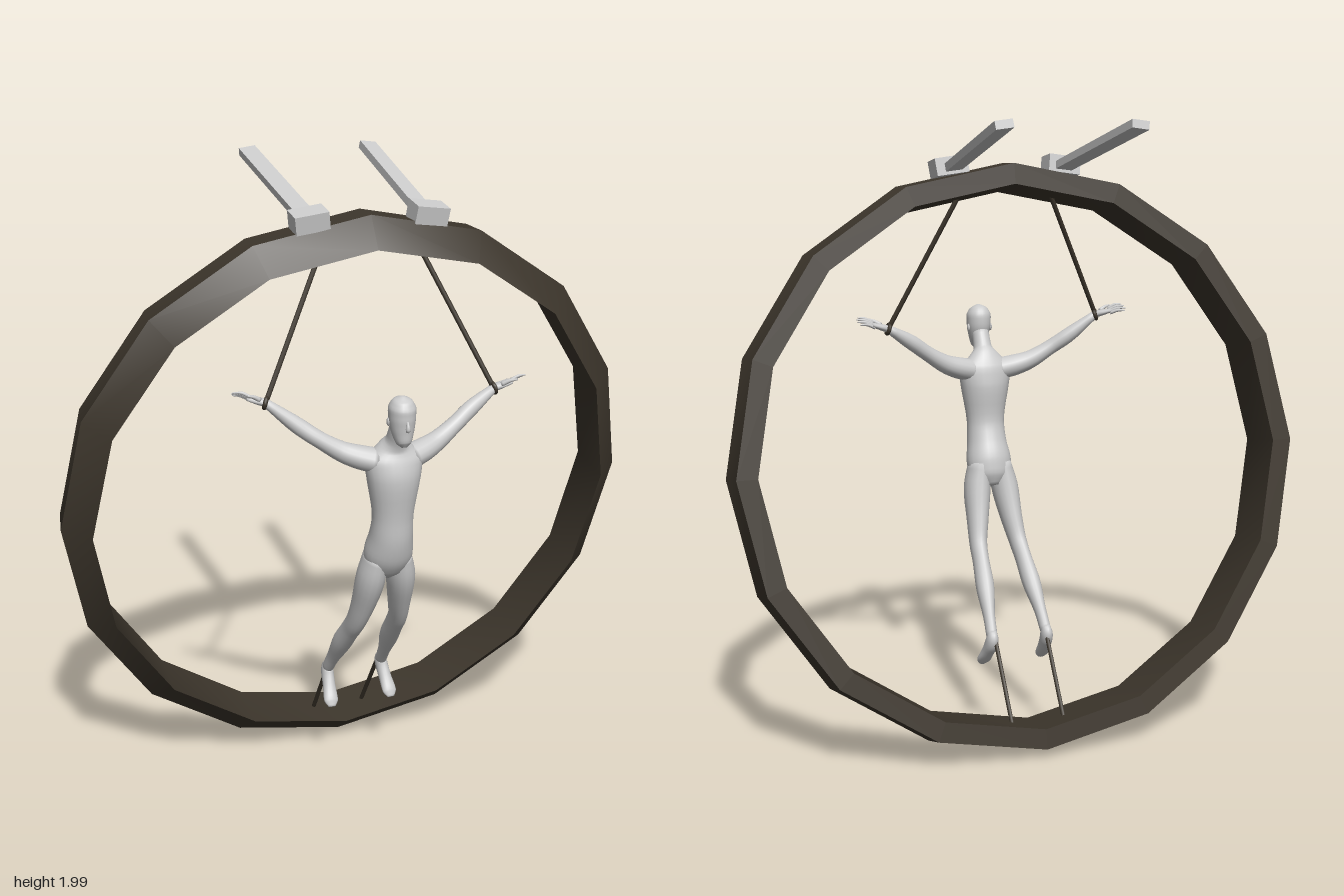
import * as THREE from 'three';
import { toCreasedNormals } from 'three/addons/utils/BufferGeometryUtils.js';

const grey = new THREE.MeshStandardMaterial({ color: 0xcccccc });
const dark = new THREE.MeshStandardMaterial({ color: 0x3d362c });
const V = (x, y, z) => new THREE.Vector3(x, y, z);

function add(parent, name, geometry, material = grey) {
  const mesh = new THREE.Mesh(geometry, material);
  mesh.name = name;
  parent.add(mesh);
  return mesh;
}

// Smooth skin over elliptical sections [x, y, z, sideRadius, frontRadius]
function loft(sections, ref = V(1, 0, 0), sides = 16, perSpan = 4) {
  const path = new THREE.CatmullRomCurve3(sections.map(s => V(s[0], s[1], s[2])));
  const radii = new THREE.CatmullRomCurve3(sections.map(s => V(s[3], s[4], 0)));
  const n = (sections.length - 1) * perSpan;
  const pos = [], idx = [];
  for (let i = 0; i <= n; i++) {
    const p = path.getPoint(i / n), r = radii.getPoint(i / n), t = path.getTangent(i / n);
    const side = ref.clone().addScaledVector(t, -ref.dot(t)).normalize();
    const fwd = t.clone().cross(side);
    for (let j = 0; j < sides; j++) {
      const a = (j / sides) * Math.PI * 2;
      const q = p.clone().addScaledVector(side, Math.cos(a) * r.x).addScaledVector(fwd, Math.sin(a) * r.y);
      pos.push(q.x, q.y, q.z);
    }
  }
  for (let i = 0; i < n; i++) for (let j = 0; j < sides; j++) {
    const k = (j + 1) % sides, a = i * sides + j, b = i * sides + k;
    idx.push(a, b, b + sides, a, b + sides, a + sides);
  }
  // end caps
  const first = sections[0], last = sections[sections.length - 1], c0 = (n + 1) * sides;
  pos.push(...first.slice(0, 3), ...last.slice(0, 3));
  for (let j = 0; j < sides; j++) {
    const k = (j + 1) % sides;
    idx.push(c0, k, j, c0 + 1, n * sides + j, n * sides + k);
  }
  const g = new THREE.BufferGeometry();
  g.setAttribute('position', new THREE.Float32BufferAttribute(pos, 3));
  g.setIndex(idx);
  g.computeVertexNormals();
  return g;
}

const rod = (a, b, r) => new THREE.TubeGeometry(new THREE.LineCurve3(a, b), 1, r, 8);

function buildArm(figure, label, s, wrist, tip) {
  const [wx, wy, wz] = wrist;
  const up = V(0, 1, 0);
  add(figure, label + 'Arm', loft([
    [s * 0.05, 1.175, 0.35, 0.038, 0.045],
    [s * 0.1, 1.187, 0.335, 0.036, 0.04],
    [s * 0.15, 1.205, 0.32, 0.031, 0.032],
    [s * 0.22, 1.248, 0.303, 0.025, 0.026],
    [s * 0.27, 1.284, (0.303 + wz) / 2 + 0.004, 0.025, 0.025],
    [wx, wy, wz, 0.013, 0.015],
  ], up));
  // palm and splayed fingers along the wrist-to-tip line
  const w = V(...wrist), e = V(...tip), at = t => w.clone().lerp(e, t);
  const across = V(0, 0.45, 0.9);
  const m = at(0.25), k = at(0.52);
  add(figure, label + 'Palm', loft([
    [wx, wy, wz, 0.012, 0.014],
    [m.x, m.y, m.z, 0.01, 0.021],
    [k.x, k.y, k.z, 0.007, 0.021],
  ], up, 12));
  for (let f = 0; f < 4; f++) {
    const o = f - 1.5;
    const a = at(0.45).addScaledVector(across, o * 0.009);
    const c = at(1 - 0.06 * Math.abs(o)).addScaledVector(across, o * 0.014);
    const mid = a.clone().lerp(c, 0.55).add(V(0, 0.005, 0));
    add(figure, label + 'Finger', loft([
      [a.x, a.y, a.z, 0.0055, 0.0055], [mid.x, mid.y, mid.z, 0.005, 0.005], [c.x, c.y, c.z, 0.002, 0.002],
    ], up, 8));
  }
  const b = at(0.2).add(V(0, 0.006, 0.012)), c = at(0.6).add(V(0, 0.012, 0.035));
  add(figure, label + 'Thumb', loft([
    [b.x, b.y, b.z, 0.008, 0.008], [(b.x + c.x) / 2, (b.y + c.y) / 2 + 0.003, (b.z + c.z) / 2, 0.006, 0.006],
    [c.x, c.y, c.z, 0.003, 0.003],
  ], up, 8));
  // cuff
  const cuff = add(figure, label + 'WristCuff', new THREE.TorusGeometry(0.015, 0.007, 8, 16), dark);
  cuff.position.copy(w);
  cuff.quaternion.setFromUnitVectors(V(0, 0, 1), e.clone().sub(w).normalize());
}

function buildFigure() {
  const figure = new THREE.Group();
  figure.name = 'figure';
  add(figure, 'torso', loft([
    [0, 0.785, 0.285, 0.03, 0.03],
    [0, 0.82, 0.297, 0.068, 0.058],
    [0, 0.87, 0.316, 0.076, 0.069],
    [0, 0.93, 0.337, 0.067, 0.065],
    [0, 1.0, 0.35, 0.064, 0.057],
    [0, 1.12, 0.355, 0.083, 0.067],
    [0, 1.18, 0.354, 0.09, 0.057],
    [0, 1.215, 0.36, 0.058, 0.043],
    [0, 1.245, 0.375, 0.031, 0.033],
    [0, 1.3, 0.402, 0.028, 0.03],
  ], V(1, 0, 0), 24));
  // head and face
  add(figure, 'head', loft([
    [0, 1.238, 0.438, 0.008, 0.008],
    [0, 1.25, 0.434, 0.022, 0.023],
    [0, 1.285, 0.423, 0.034, 0.038],
    [0, 1.32, 0.417, 0.04, 0.046],
    [0, 1.35, 0.417, 0.041, 0.046],
    [0, 1.376, 0.42, 0.029, 0.032],
    [0, 1.388, 0.422, 0.006, 0.006],
  ], V(1, 0, 0), 20));
  add(figure, 'nose', loft([
    [0, 1.322, 0.46, 0.003, 0.004], [0, 1.3, 0.465, 0.007, 0.009], [0, 1.292, 0.461, 0.004, 0.005],
  ], V(1, 0, 0), 8));
  for (const [label, s] of [['left', 1], ['right', -1]]) {
    const ear = add(figure, label + 'Ear', new THREE.SphereGeometry(1, 10, 8));
    ear.scale.set(0.005, 0.013, 0.009);
    ear.position.set(s * 0.039, 1.312, 0.408);
    // leg bent back at the knee
    add(figure, label + 'Leg', loft([
      [s * 0.038, 0.86, 0.31, 0.034, 0.055],
      [s * 0.049, 0.78, 0.295, 0.044, 0.057],
      [s * 0.06, 0.68, 0.258, 0.036, 0.047],
      [s * 0.07, 0.605, 0.222, 0.029, 0.039],
      [s * 0.075, 0.555, 0.18, 0.027, 0.037],
      [s * 0.081, 0.49, 0.123, 0.03, 0.036],
      [s * 0.09, 0.4, 0.052, 0.019, 0.025],
      [s * 0.094, 0.345, 0.012, 0.018, 0.021],
    ]));
    add(figure, label + 'Foot', loft([
      [s * 0.093, 0.365, 0.014, 0.014, 0.014],
      [s * 0.095, 0.335, 0.008, 0.02, 0.028],
      [s * 0.099, 0.29, 0.037, 0.021, 0.021],
      [s * 0.103, 0.252, 0.069, 0.024, 0.014],
      [s * 0.104, 0.234, 0.083, 0.012, 0.006],
    ]));
  }
  buildArm(figure, 'left', 1, [0.357, 1.337, 0.272], [0.462, 1.368, 0.272]);
  buildArm(figure, 'right', -1, [-0.362, 1.358, 0.255], [-0.455, 1.385, 0.213]);
  return figure;
}

export function createModel() {
  const model = new THREE.Group();
  model.name = 'suspendedFigureInRing';

  // tilted sixteen-sided ring with a sloped front face
  const profile = [[0.925, -0.1], [0.94, 0], [0.857, 0.075], [0.86, -0.1], [0.925, -0.1]];
  const ringGeo = new THREE.LatheGeometry(profile.map(([r, h]) => new THREE.Vector2(r, h)), 16);
  const ring = add(model, 'ring', toCreasedNormals(ringGeo, 0.5), dark);
  ring.rotation.x = Math.PI / 2 + 0.167;
  ring.position.y = 0.94;

  // clamps and hanger beams above the ring
  for (const [label, s, x] of [['left', 1, 0.194], ['right', -1, -0.181]]) {
    const clamp = add(model, label + 'Clamp', new THREE.BoxGeometry(0.105, 0.055, 0.078));
    clamp.position.set(x, 1.857, 0.122);
    clamp.rotation.set(0.16, 0, -s * 0.13);
    const a = V(x - s * 0.005, 1.852, 0.11), b = V(x + s * 0.018, 1.985, -0.455);
    const beam = add(model, label + 'HangerBeam', new THREE.BoxGeometry(0.054, 0.025, a.distanceTo(b)));
    beam.position.copy(a).lerp(b, 0.5);
    beam.lookAt(b);
    beam.rotateZ(s * 0.13);
  }

  // tethers from wrists and ankles to the ring
  add(model, 'leftWristTether', rod(V(0.357, 1.337, 0.272), V(0.155, 1.765, 0.145), 0.008), dark);
  add(model, 'rightWristTether', rod(V(-0.362, 1.358, 0.255), V(-0.155, 1.765, 0.145), 0.008), dark);
  add(model, 'leftAnkleTether', rod(V(0.088, 0.345, 0.0), V(0.086, 0.085, -0.175), 0.007), dark);
  add(model, 'rightAnkleTether', rod(V(-0.09, 0.345, 0.0), V(-0.09, 0.085, -0.175), 0.007), dark);

  model.add(buildFigure());
  return model;
}
